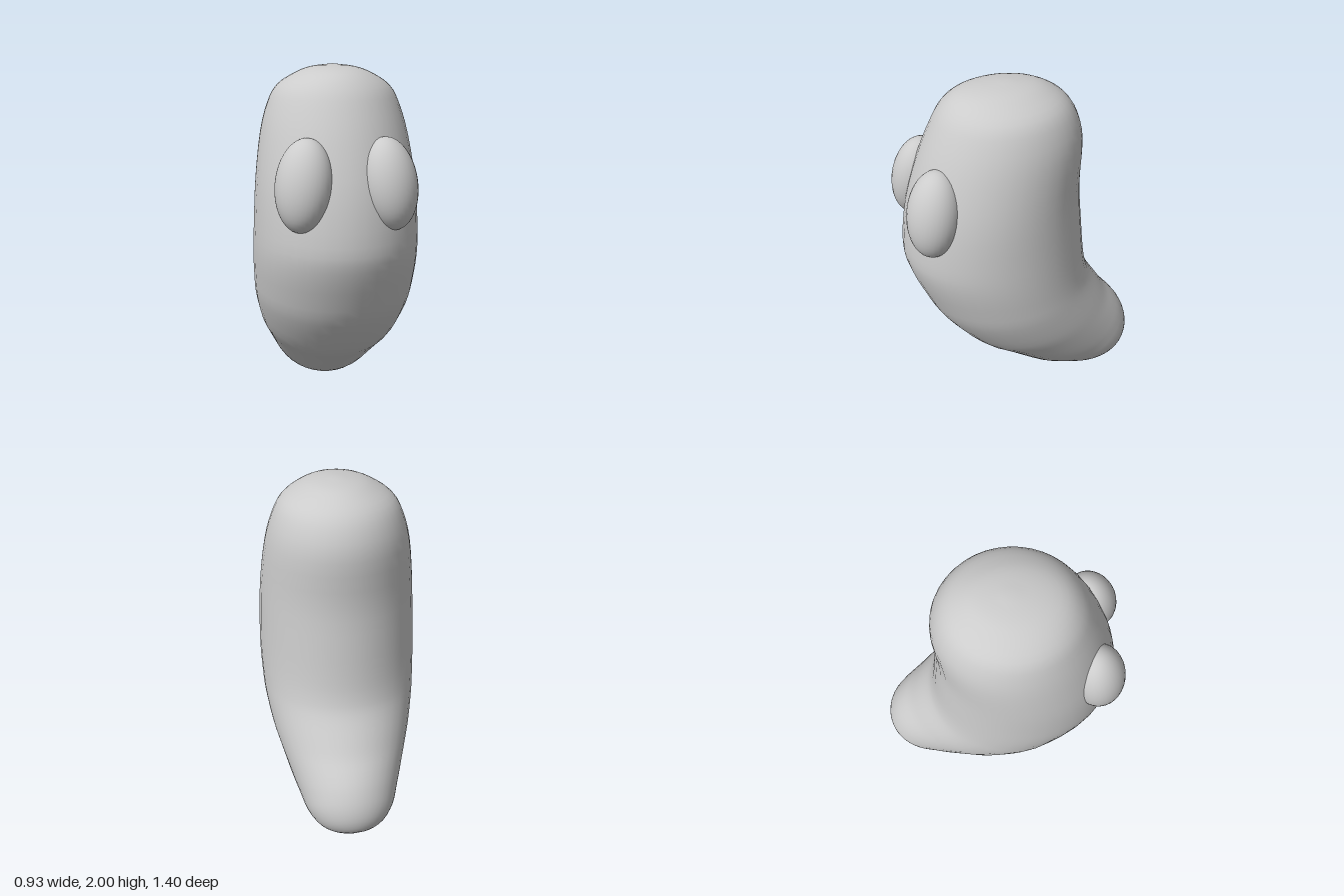
import * as THREE from 'three';
import { mergeVertices } from 'three/addons/utils/BufferGeometryUtils.js';

// Body sections from crown to tail: front z, front y, back z, back y, half width
const SECTIONS = [
  [0.08, 2.0, 0.08, 2.0, 0],
  [0.24, 1.985, -0.06, 1.985, 0.12],
  [0.36, 1.95, -0.15, 1.955, 0.21],
  [0.44, 1.88, -0.24, 1.895, 0.31],
  [0.5, 1.78, -0.3, 1.8, 0.365],
  [0.58, 1.6, -0.33, 1.66, 0.41],
  [0.66, 1.35, -0.32, 1.4, 0.445],
  [0.697, 1.1, -0.34, 1.15, 0.46],
  [0.68, 0.96, -0.36, 0.95, 0.465],
  [0.61, 0.78, -0.38, 0.84, 0.46],
  [0.53, 0.62, -0.41, 0.76, 0.45],
  [0.36, 0.41, -0.48, 0.65, 0.415],
  [0.2, 0.29, -0.54, 0.56, 0.375],
  [-0.02, 0.13, -0.6, 0.49, 0.325],
  [-0.15, 0.07, -0.65, 0.42, 0.29],
  [-0.3, 0.02, -0.69, 0.33, 0.25],
  [-0.45, 0.003, -0.703, 0.24, 0.18],
  [-0.56, 0.04, -0.685, 0.16, 0.09],
  [-0.64, 0.1, -0.64, 0.1, 0],
];

// Smooth skin of elliptical rings, each spanning a front and a back point
function bodyGeometry(rows = 54, sides = 40) {
  const spline = (f) => new THREE.CatmullRomCurve3(SECTIONS.map(f), false, 'catmullrom', 0.5);
  const front = spline((s) => new THREE.Vector3(s[4], s[1], s[0]));
  const back = spline((s) => new THREE.Vector3(s[4], s[3], s[2]));
  const positions = [];
  const index = [];
  for (let r = 0; r <= rows; r++) {
    const f = front.getPoint(r / rows);
    const b = back.getPoint(r / rows);
    for (let i = 0; i < sides; i++) {
      const a = (i / sides) * Math.PI * 2;
      const k = (1 - Math.cos(a)) / 2;
      positions.push(f.x * Math.sin(a), f.y + (b.y - f.y) * k, f.z + (b.z - f.z) * k);
      if (r === rows) continue;
      const j = (i + 1) % sides;
      const p = r * sides;
      const q = p + sides;
      if (r < rows - 1) index.push(p + i, q + i, q + j);
      if (r > 0) index.push(p + i, q + j, p + j);
    }
  }
  const geometry = new THREE.BufferGeometry();
  geometry.setAttribute('position', new THREE.Float32BufferAttribute(positions, 3));
  geometry.setIndex(index);
  const merged = mergeVertices(geometry, 1e-5); // joins the poles
  merged.computeVertexNormals();
  return merged;
}

export function createModel() {
  const group = new THREE.Group();
  group.name = 'beanCreature';
  const material = new THREE.MeshStandardMaterial({ color: 0xcccccc });

  const body = new THREE.Mesh(bodyGeometry(), material);
  body.name = 'body';
  group.add(body);

  // Oval eyes, turned outward and leaning back with the face
  const eyeGeometry = new THREE.SphereGeometry(1, 32, 24);
  for (const side of [1, -1]) {
    const eye = new THREE.Mesh(eyeGeometry, material);
    eye.name = side > 0 ? 'leftEye' : 'rightEye';
    eye.scale.set(0.152, 0.243, 0.14);
    eye.position.set(side * 0.223, 1.405, 0.552);
    eye.rotation.set(-0.22, side * 0.59, 0, 'YXZ');
    group.add(eye);
  }
  return group;
}
